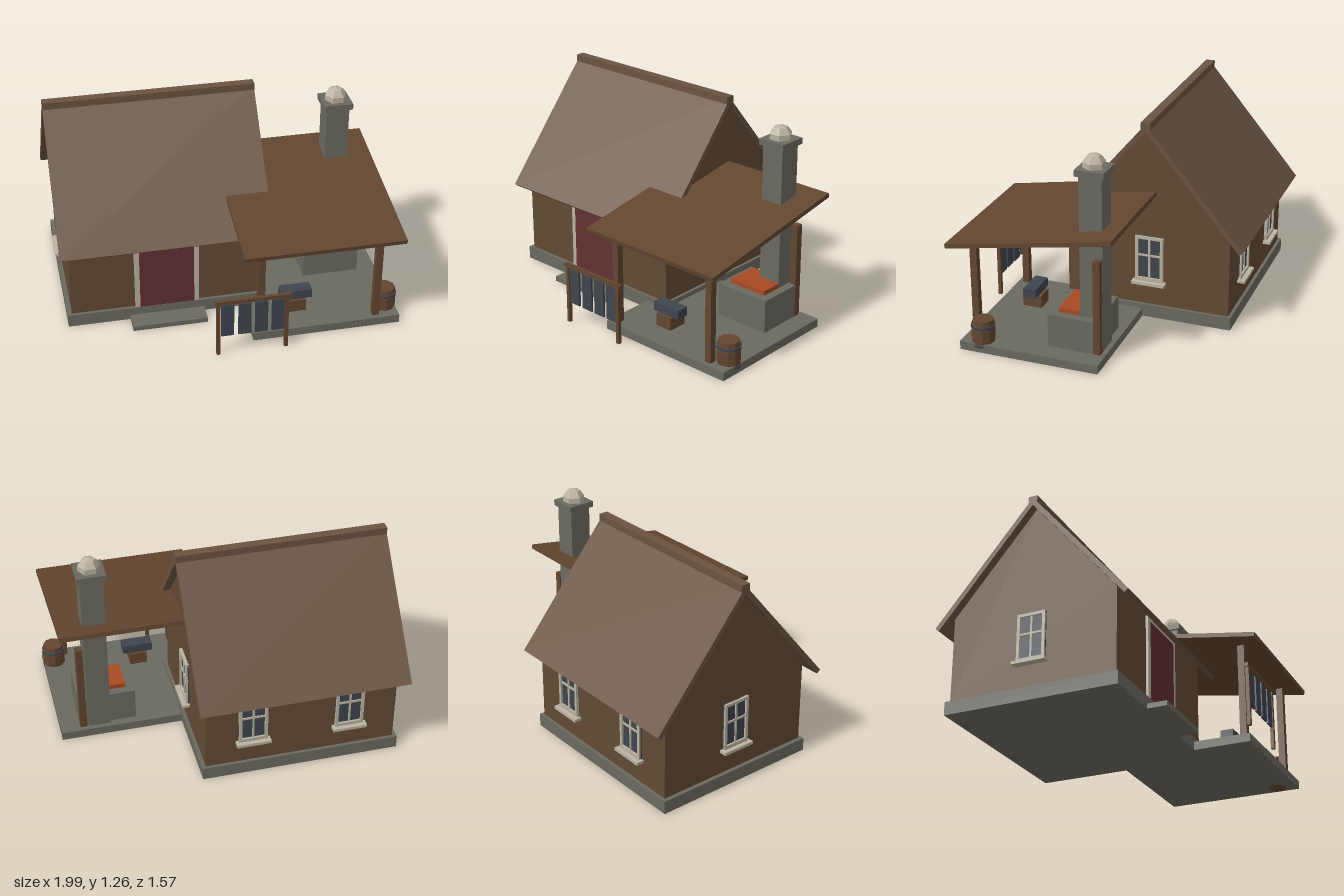
import * as THREE from 'three';

const mat = (name, color, extra = {}) => {
  const m = new THREE.MeshStandardMaterial({ color, ...extra });
  m.name = name;
  return m;
};

export function createModel() {
  const roofMat = mat('roof shingles', 0x6b5342);
  const wallMat = mat('wall boards', 0x634a34);
  const timber = mat('timber', 0x62462f);
  const stone = mat('stone', 0x6b6a60);
  const pale = mat('pale trim', 0xbab3a2, { flatShading: true });
  const doorMat = mat('door red', 0x623033);
  const iron = mat('dark iron', 0x3f454e);
  const ember = mat('embers', 0xa84a22);

  const model = new THREE.Group();
  model.name = 'smithy';

  const add = (name, geo, m, parent = model) => {
    const mesh = new THREE.Mesh(geo, m);
    mesh.name = name;
    parent.add(mesh);
    return mesh;
  };
  // Box given by its extents on each axis
  const box = (name, m, [x0, x1], [y0, y1], [z0, z1], parent = model) => {
    const mesh = add(name, new THREE.BoxGeometry(x1 - x0, y1 - y0, z1 - z0), m, parent);
    mesh.position.set((x0 + x1) / 2, (y0 + y1) / 2, (z0 + z1) / 2);
    return mesh;
  };
  // Profile of [z, y] points extruded along x
  const extrudeX = (points, x0, x1) => {
    const shape = new THREE.Shape(points.map(([z, y]) => new THREE.Vector2(z, y)));
    return new THREE.ExtrudeGeometry(shape, { depth: x1 - x0, bevelEnabled: false })
      .rotateY(-Math.PI / 2).translate(x1, 0, 0);
  };

  // House
  const rz = -0.18; // ridge position
  box('foundation', stone, [-0.97, 0.24], [0, 0.08], [-0.71, 0.35]);
  add('walls', extrudeX([
    [rz - 0.51, 0.08], [rz + 0.51, 0.08], [rz + 0.51, 0.6], [rz, 1.205], [rz - 0.51, 0.6],
  ], -0.945, 0.22), wallMat);
  add('mainRoof', extrudeX([
    [rz + 0.603, 0.533], [rz, 1.25], [rz - 0.603, 0.533],
    [rz - 0.58, 0.514], [rz, 1.203], [rz + 0.58, 0.514],
  ], -1, 0.27), roofMat);
  box('ridgeCap', roofMat, [-1, 0.27], [1.215, 1.26], [rz - 0.028, rz + 0.028]);

  // Door and step
  box('doorStep', stone, [-0.595, -0.14], [0, 0.03], [0.34, 0.47]);
  box('door', doorMat, [-0.53, -0.2], [0.08, 0.56], [0.32, 0.347]);
  for (const x of [-0.56, -0.2]) box('doorJamb', pale, [x, x + 0.03], [0.08, 0.59], [0.32, 0.345]);
  box('doorLintel', pale, [-0.53, -0.2], [0.56, 0.59], [0.32, 0.345]);

  // Windows, built facing +z and turned to their wall
  const addWindow = (x, z, angle) => {
    const g = new THREE.Group();
    g.name = 'window';
    const w = 0.087, b = 0.235, t = 0.53;
    box('glass', iron, [-w, w], [b, t], [0, 0.008], g);
    for (const s of [-1, 1]) {
      const xs = [s * w, s * (w - 0.018)].sort((p, q) => p - q);
      box('frameSide', pale, xs, [b, t], [0, 0.02], g);
    }
    box('frameTop', pale, [-w, w], [t - 0.018, t], [0, 0.02], g);
    box('frameBottom', pale, [-w, w], [b, b + 0.025], [0, 0.02], g);
    box('mullion', pale, [-0.006, 0.006], [b, t], [0, 0.015], g);
    box('crossbar', pale, [-w, w], [0.4, 0.412], [0, 0.015], g);
    box('sill', pale, [-0.104, 0.104], [0.22, 0.238], [0, 0.047], g);
    g.position.set(x, 0, z);
    g.rotation.y = angle;
    model.add(g);
  };
  addWindow(0.22, -0.195, Math.PI / 2);
  addWindow(-0.945, -0.185, -Math.PI / 2);
  for (const x of [-0.065, -0.655]) addWindow(x, -0.69, Math.PI);

  // Porch
  box('porchFloor', stone, [0.09, 0.99], [0, 0.052], [-0.155, 0.7]);
  for (const [x, z] of [[0.14, 0.65], [0.85, 0.65], [0.85, -0.105]]) {
    box('porchPost', timber, [x - 0.021, x + 0.021], [0.05, 0.635], [z - 0.021, z + 0.021]);
  }
  const porchRoof = add('porchRoof', new THREE.BoxGeometry(0.957, 0.027, 1.025), timber);
  porchRoof.position.set(0.4935, 0.725, 0.27);
  porchRoof.rotation.x = 0.17;

  // Forge and chimney
  box('forge', stone, [0.52, 0.87], [0.05, 0.257], [-0.105, 0.195]);
  box('emberBed', ember, [0.57, 0.82], [0.25, 0.286], [-0.055, 0.145]);
  box('chimney', stone, [0.68, 0.82], [0.05, 1.12], [-0.125, 0.013]);
  box('chimneyCap', stone, [0.663, 0.837], [1.118, 1.155], [-0.143, 0.032]);
  add('smokePuff', new THREE.SphereGeometry(0.07, 6, 5), pale).position.set(0.75, 1.167, -0.055);

  // Anvil on its block
  box('anvilBlock', timber, [0.34, 0.45], [-0.0, 0.13], [0.42, 0.54]);
  box('anvil', iron, [0.3, 0.49], [0.13, 0.185], [0.44, 0.52]);

  // Barrel with two hoops
  const barrel = new THREE.Group();
  barrel.name = 'barrel';
  const staves = [[0, 0], [0.062, 0], [0.07, 0.06], [0.07, 0.13], [0.062, 0.19], [0, 0.19]];
  const flatTimber = timber;
  const lathe = new THREE.LatheGeometry(staves.map(([r, y]) => new THREE.Vector2(r, y)), 10).toNonIndexed();
  lathe.computeVertexNormals();
  add('staves', lathe, flatTimber, barrel);
  for (const y of [0.037, 0.152]) {
    add('hoop', new THREE.CylinderGeometry(0.073, 0.073, 0.014, 10), iron, barrel).position.y = y;
  }
  barrel.position.set(0.925, 0, 0.578);
  model.add(barrel);

  // Display rack with hanging iron plates
  for (const x of [-0.14, 0.265]) box('rackPost', timber, [x - 0.011, x + 0.011], [0, 0.37], [0.769, 0.79]);
  box('rackRail', timber, [-0.16, 0.29], [0.357, 0.38], [0.769, 0.79]);
  for (const x of [-0.086, 0.016, 0.115, 0.214]) {
    box('hangingPlate', iron, [x - 0.038, x + 0.038], [0.13, 0.348], [0.774, 0.786]);
  }

  return model;
}
